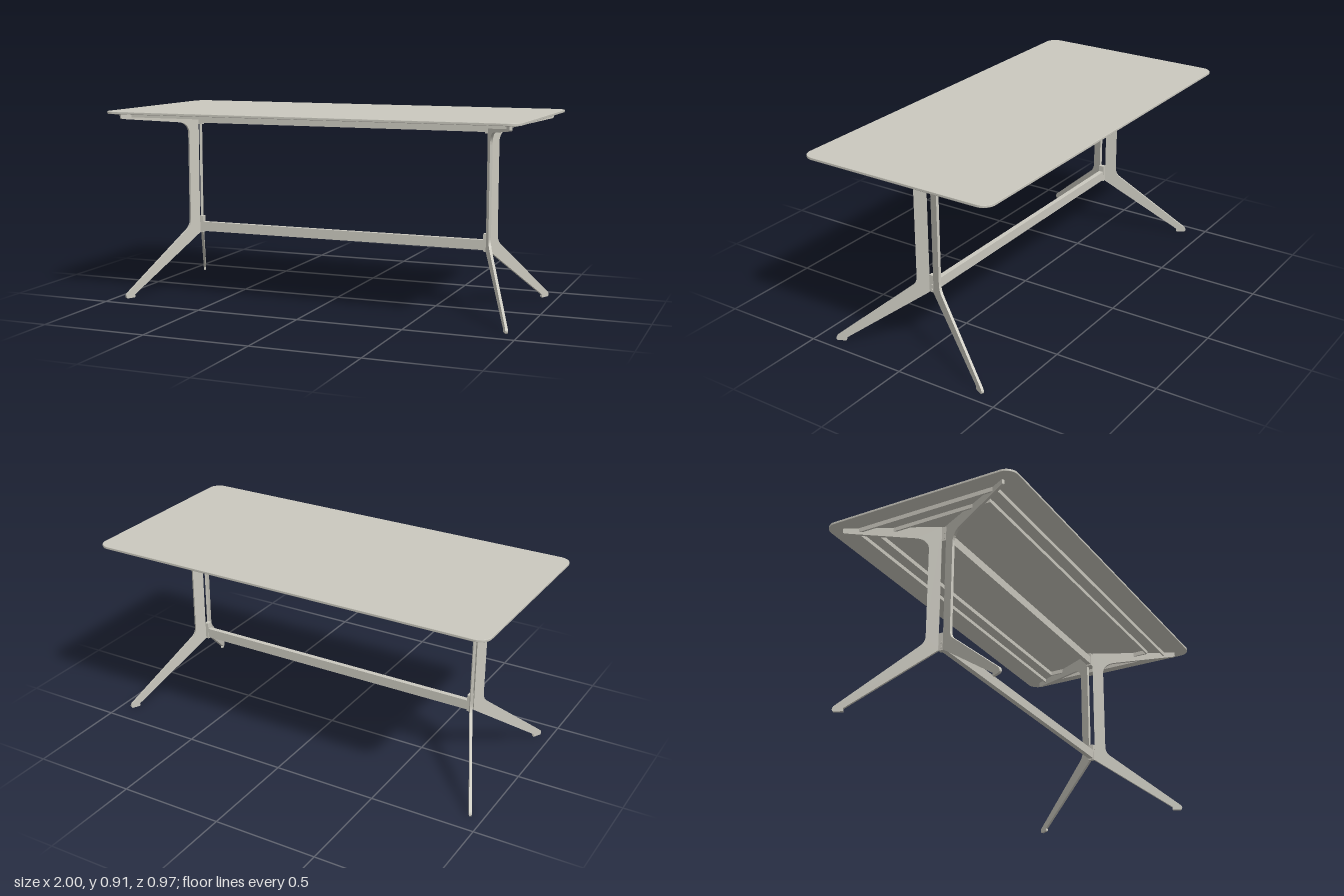
import * as THREE from 'three';

export function createModel() {
  const model = new THREE.Group();
  model.name = 'table';
  const paint = new THREE.MeshStandardMaterial({ color: 0xcac8be });
  paint.name = 'warm grey';

  const add = (name, geometry, x = 0, y = 0, z = 0) => {
    const mesh = new THREE.Mesh(geometry, paint);
    mesh.name = name;
    mesh.position.set(x, y, z);
    model.add(mesh);
    return mesh;
  };
  const box = (name, w, h, d, x, y, z) => add(name, new THREE.BoxGeometry(w, h, d), x, y, z);

  // Rounded rectangle on the ground plane, drawn in x and z
  const roundedRect = (w, d, r) => {
    const s = new THREE.Shape();
    s.absarc(w - r, d - r, r, 0, Math.PI / 2);
    s.absarc(-w + r, d - r, r, Math.PI / 2, Math.PI);
    s.absarc(-w + r, -d + r, r, Math.PI, Math.PI * 1.5);
    s.absarc(w - r, -d + r, r, Math.PI * 1.5, Math.PI * 2);
    return s;
  };

  // Table top with softened edges
  const top = new THREE.ExtrudeGeometry(roundedRect(0.998, 0.483, 0.055), {
    depth: 0.008, bevelThickness: 0.002, bevelSize: 0.002, bevelSegments: 2, curveSegments: 10,
  });
  top.rotateX(-Math.PI / 2);
  add('tableTop', top, 0, 0.902, 0);

  // Channel frame under the top: outer and inner flanges joined by a thin web
  const flange = 0.008;
  for (const [w, d, part] of [[0.92, 0.365, 'outer'], [0.85, 0.295, 'inner']]) {
    for (const s of [-1, 1]) {
      box(part + 'LongRail', 2 * w, 0.021, flange, 0, 0.8885, s * (d - flange / 2));
      box(part + 'EndRail', flange, 0.021, 2 * (d - flange), s * (w - flange / 2), 0.8885, 0);
    }
  }
  for (const s of [-1, 1]) {
    box('longWeb', 1.83, 0.004, 0.075, 0, 0.899, s * 0.325);
    box('endWeb', 0.075, 0.004, 0.58, s * 0.88, 0.899, 0);
  }

  // Leg plate: foot, splayed strut, column and tapered top arm in one outline
  const spread = Math.hypot(0.2, 0.4) / 0.4;
  const d = (z) => (z - 0.014) * spread;
  const leg = new THREE.Shape();
  leg.moveTo(d(0.014), 0.278);
  leg.lineTo(d(0.366), 0.014);
  leg.quadraticCurveTo(d(0.363), 0.008, d(0.366), 0);
  leg.lineTo(d(0.403), 0);
  leg.quadraticCurveTo(d(0.414), 0.008, d(0.403), 0.024);
  leg.lineTo(d(0.084), 0.302);
  leg.quadraticCurveTo(d(0.064), 0.32, d(0.064), 0.352);
  leg.lineTo(d(0.064), 0.782);
  leg.bezierCurveTo(d(0.064), 0.815, d(0.085), 0.836, d(0.118), 0.84);
  leg.lineTo(d(0.405), 0.872);
  leg.quadraticCurveTo(d(0.414), 0.873, d(0.414), 0.88);
  leg.lineTo(d(0.414), 0.898);
  leg.lineTo(d(0.014), 0.898);
  leg.closePath();
  const thick = 0.012;
  const legGeometry = new THREE.ExtrudeGeometry(leg, { depth: thick, bevelEnabled: false, curveSegments: 8 });
  legGeometry.translate(0, 0, -thick / 2);

  for (const sx of [-1, 1]) {
    for (const sz of [-1, 1]) {
      const name = (sz > 0 ? 'front' : 'back') + (sx > 0 ? 'Left' : 'Right') + 'Leg';
      add(name, legGeometry, sx * 0.747, 0, sz * 0.014).rotation.y = Math.atan2(-sz * 2, sx);
    }
    // Brackets between the columns, with their screws
    box('upperBracket', 0.02, 0.072, 0.028, sx * 0.738, 0.861, 0);
    box('lowerBracket', 0.02, 0.084, 0.028, sx * 0.738, 0.32, 0);
    for (const y of [0.84, 0.865, 0.291, 0.315]) {
      const screw = new THREE.CylinderGeometry(0.005, 0.005, 0.004, 12);
      screw.rotateZ(Math.PI / 2);
      add('screw', screw, sx * 0.749, y, 0);
    }
  }

  // Long stretchers
  box('upperStretcher', 1.47, 0.044, 0.024, 0, 0.854, 0);
  box('lowerStretcher', 1.47, 0.047, 0.024, 0, 0.3085, 0);

  return model;
}
